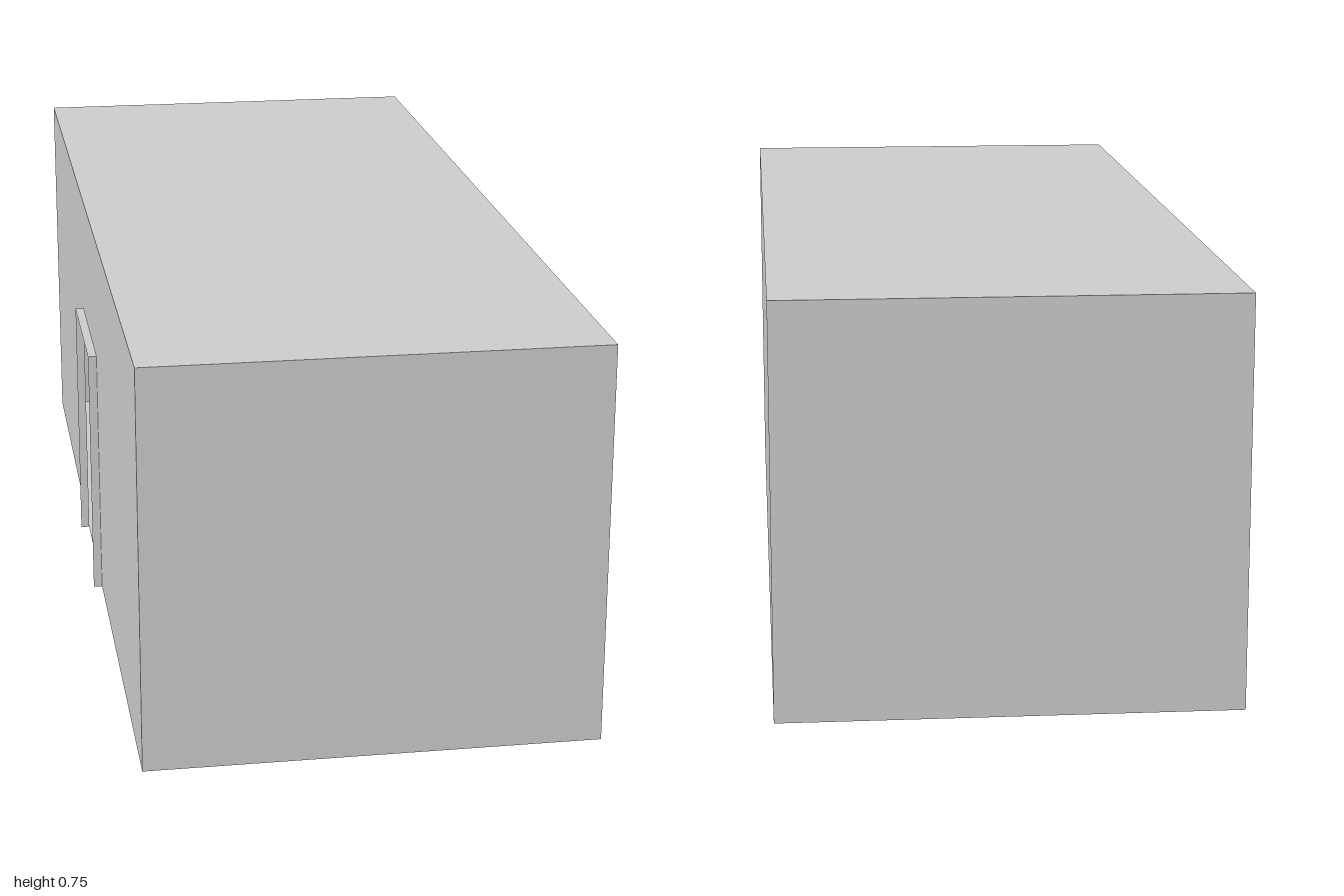
import * as THREE from 'three';

const X0 = -0.408, X1 = 0.425, H = 0.75, L = 2;
const DOOR_W = 0.333, DOOR_H = 0.5, FRAME = 0.017;

export function createModel() {
  const group = new THREE.Group();
  const material = new THREE.MeshStandardMaterial({ color: 0xcccccc, side: THREE.DoubleSide, flatShading: true });
  const width = X1 - X0, midX = (X0 + X1) / 2;

  function add(name, geometry, position, rotation = [0, 0, 0]) {
    const mesh = new THREE.Mesh(geometry, material);
    mesh.name = name;
    mesh.position.set(...position);
    mesh.rotation.set(...rotation);
    group.add(mesh);
  }

  // Thin wall standing on y = 0 with a doorway reaching the floor
  function doorWall(length, doorX) {
    const a = doorX - DOOR_W / 2, b = doorX + DOOR_W / 2, h = length / 2;
    const points = [[-h, 0], [a, 0], [a, DOOR_H], [b, DOOR_H], [b, 0], [h, 0], [h, H], [-h, H]];
    return new THREE.ShapeGeometry(new THREE.Shape(points.map(p => new THREE.Vector2(...p))));
  }

  const Q = Math.PI / 2;

  // Shell of the building
  add('floor', new THREE.PlaneGeometry(width, L), [midX, 0, 0], [Q, 0, 0]);
  add('roof', new THREE.PlaneGeometry(width, L), [midX, H, 0], [-Q, 0, 0]);
  add('frontWall', new THREE.PlaneGeometry(width, H), [midX, H / 2, L / 2]);
  add('backWall', new THREE.PlaneGeometry(width, H), [midX, H / 2, -L / 2], [0, Math.PI, 0]);
  add('plainSideWall', new THREE.PlaneGeometry(L, H), [X1, H / 2, 0], [0, Q, 0]);
  add('doorSideWall', doorWall(L, 0), [X0, 0, 0], [0, -Q, 0]);

  // Inner wall with its own doorway
  add('innerWall', doorWall(width, 0.138 + DOOR_W / 2 - width / 2), [midX, 0, 0.333], [0, 0, 0]);

  // Thin frame standing proud of the doorway
  const frameX = X0 - FRAME / 2;
  for (const side of [-1, 1]) {
    add('doorJamb', new THREE.PlaneGeometry(FRAME, DOOR_H),
      [frameX, DOOR_H / 2, side * DOOR_W / 2], [0, side > 0 ? 0 : Math.PI, 0]);
  }
  add('doorLintel', new THREE.PlaneGeometry(FRAME, DOOR_W), [frameX, DOOR_H, 0], [-Q, 0, 0]);

  return group;
}
